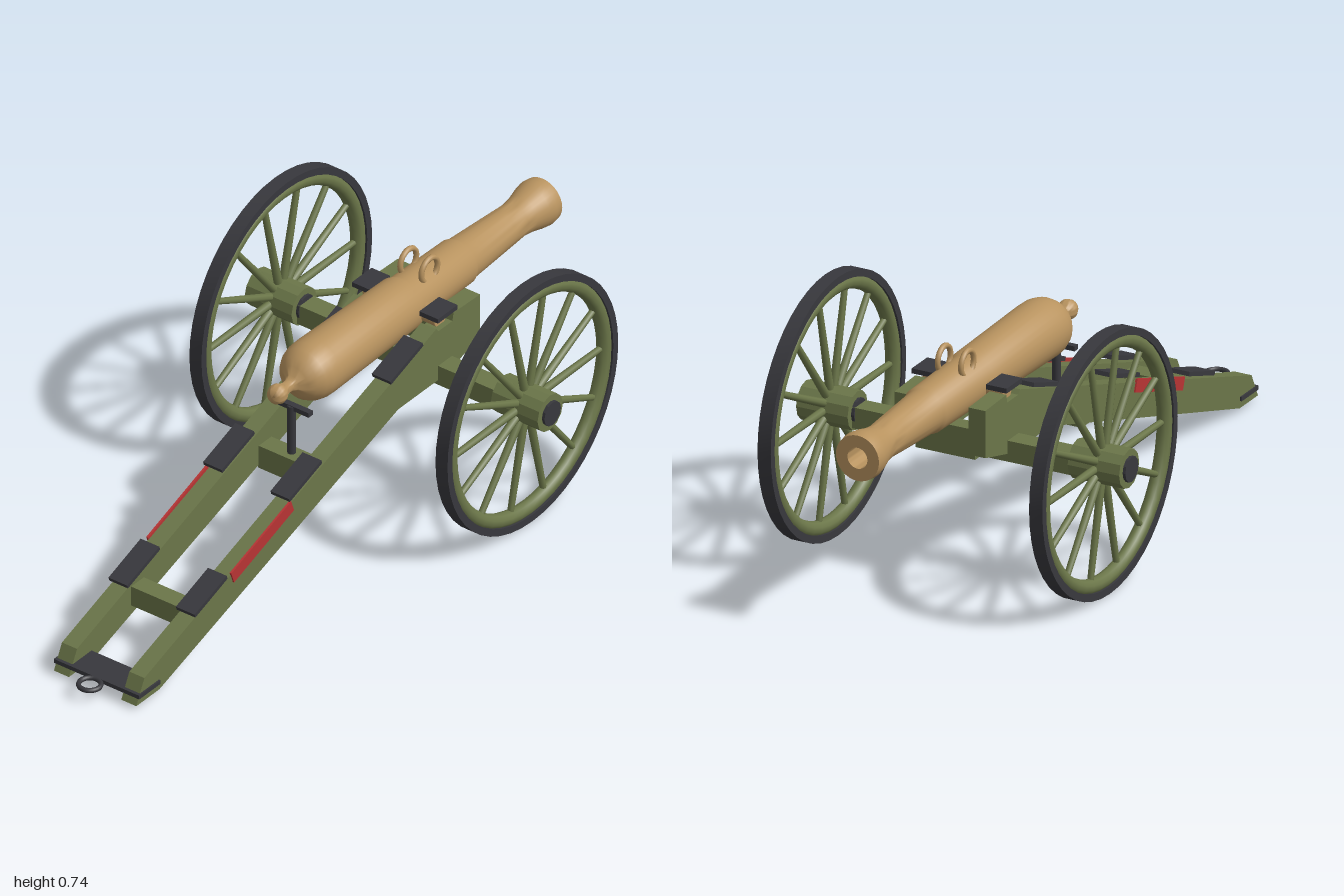
import * as THREE from 'three';
import { toCreasedNormals } from 'three/addons/utils/BufferGeometryUtils.js';

const paint = (name, color) => {
  const m = new THREE.MeshStandardMaterial({ color });
  m.name = name;
  return m;
};

export function createModel() {
  const green = paint('olive paint', 0x6b7649);
  const bronze = paint('bronze', 0xb8935f);
  const iron = paint('dark iron', 0x38383d);
  const red = paint('red panel', 0xb83434);

  const model = new THREE.Group();
  model.name = 'fieldCannon';

  const add = (parent, name, geometry, material, x = 0, y = 0, z = 0, tilt = 0) => {
    const mesh = new THREE.Mesh(geometry, material);
    mesh.name = name;
    mesh.position.set(x, y, z);
    mesh.rotation.x = tilt;
    parent.add(mesh);
    return mesh;
  };
  const box = (w, h, d) => new THREE.BoxGeometry(w, h, d);
  const lathe = (points, segments) => toCreasedNormals(
    new THREE.LatheGeometry(points.map(([r, y]) => new THREE.Vector2(r, y)), segments), 0.7);
  const crossBar = (r, length, sides) =>
    new THREE.CylinderGeometry(r, r, length, sides).rotateZ(Math.PI / 2);

  const axleY = 0.37, axleZ = -0.398, boreY = 0.524, slope = 0.335;

  // Barrel: bore, flared muzzle, stepped tube, rounded breech and knob
  const barrel = new THREE.Group();
  barrel.name = 'barrel';
  barrel.position.y = boreY;
  model.add(barrel);
  const tube = [
    [0, -0.82], [0.03, -0.82], [0.03, -1], [0.065, -1], [0.068, -0.975], [0.064, -0.95],
    [0.054, -0.91], [0.05, -0.875], [0.053, -0.82], [0.062, -0.64], [0.067, -0.63],
    [0.071, -0.4], [0.077, -0.385], [0.084, -0.02], [0.083, 0.01], [0.077, 0.035],
    [0.064, 0.058], [0.045, 0.075], [0.024, 0.088], [0.017, 0.1], [0.016, 0.115],
    [0.02, 0.128], [0.027, 0.14], [0.028, 0.153], [0.022, 0.167], [0.012, 0.174], [0, 0.176],
  ];
  add(barrel, 'barrelTube', lathe(tube, 32).rotateX(Math.PI / 2), bronze);
  add(barrel, 'trunnions', crossBar(0.026, 0.24, 16), bronze, 0, -0.004, -0.4);
  for (const side of [-1, 1]) {
    const ring = new THREE.TorusGeometry(0.035, 0.008, 8, 24).rotateY(Math.PI / 2);
    add(barrel, 'liftingHandle', ring, bronze, side * 0.035, 0.08, -0.463);
  }

  // Carriage side beam as a (z, y) outline, notched for the trunnion
  const outline = [
    [0.94, 0.012], [0.905, 0.083], [-0.03, 0.4], [-0.36, 0.512], [-0.37, 0.5], [-0.43, 0.5],
    [-0.435, 0.524], [-0.55, 0.52], [-0.55, 0.385], [-0.4, 0.345], [-0.195, 0.345], [0.84, 0.012],
  ].reverse();
  const beamShape = new THREE.Shape(outline.map(([z, y]) => new THREE.Vector2(z, y)));
  const beam = new THREE.ExtrudeGeometry(beamShape, { depth: 0.05, bevelEnabled: false })
    .rotateY(-Math.PI / 2).translate(0.025, 0, 0);

  const carriage = new THREE.Group();
  carriage.name = 'carriage';
  model.add(carriage);
  for (const side of [-1, 1]) {
    add(carriage, 'sideBeam', beam, green, side * 0.112);
    add(carriage, 'trunnionCap', box(0.062, 0.014, 0.085), iron, side * 0.112, 0.539, -0.402);
    for (const [y, z] of [[0.477, -0.225], [0.34, 0.214], [0.193, 0.624]]) {
      add(carriage, 'beamStrap', box(0.062, 0.012, 0.148), iron, side * 0.112, y, z, slope);
    }
    add(carriage, 'redPanel', box(0.006, 0.037, 0.275), red, side * 0.1385, 0.245, 0.398, slope);
  }

  // Cross members, axle and tail plate with towing ring
  add(carriage, 'frontTransom', box(0.18, 0.085, 0.05), green, 0, 0.402, -0.495);
  add(carriage, 'middleTransom', box(0.18, 0.07, 0.055), green, 0, 0.27, 0.09);
  add(carriage, 'rearTransom', box(0.18, 0.06, 0.055), green, 0, 0.125, 0.643);
  add(carriage, 'axle', box(0.68, 0.06, 0.06), green, 0, 0.36, axleZ);
  add(carriage, 'tailPlate', box(0.284, 0.012, 0.092), iron, 0, 0.038, 0.888);
  add(carriage, 'towingRing', new THREE.TorusGeometry(0.03, 0.007, 8, 24).rotateX(Math.PI / 2),
    iron, 0, 0.038, 0.963);

  // Elevating screw under the breech
  add(carriage, 'elevatingScrew', new THREE.CylinderGeometry(0.012, 0.012, 0.18, 12), iron, 0, 0.365, 0.088);
  add(carriage, 'screwHead', box(0.122, 0.014, 0.018), iron, 0, 0.45, 0.085);

  // Wheels
  const tyre = lathe([[0.349, -0.02], [0.37, -0.02], [0.37, 0.02], [0.349, 0.02], [0.349, -0.02]], 48)
    .rotateZ(Math.PI / 2);
  const rim = new THREE.TorusGeometry(0.334, 0.021, 10, 48).rotateY(Math.PI / 2);
  const hub = toCreasedNormals(crossBar(0.055, 0.155, 12), 0.3);
  const hubCap = toCreasedNormals(crossBar(0.036, 0.172, 12), 0.3);
  const spoke = new THREE.CylinderGeometry(0.009, 0.012, 0.29, 8).translate(0, 0.185, 0);
  const spokeCount = 14;
  for (const side of [-1, 1]) {
    const wheel = new THREE.Group();
    wheel.name = side > 0 ? 'leftWheel' : 'rightWheel';
    wheel.position.set(side * 0.409, axleY, axleZ);
    model.add(wheel);
    add(wheel, 'tyre', tyre, iron);
    add(wheel, 'rim', rim, green);
    add(wheel, 'hub', hub, green);
    add(wheel, 'hubCaps', hubCap, iron);
    for (let i = 0; i < spokeCount; i++) {
      add(wheel, 'spoke', spoke, green, 0, 0, 0, (i + 0.5) / spokeCount * Math.PI * 2);
    }
  }
  return model;
}
